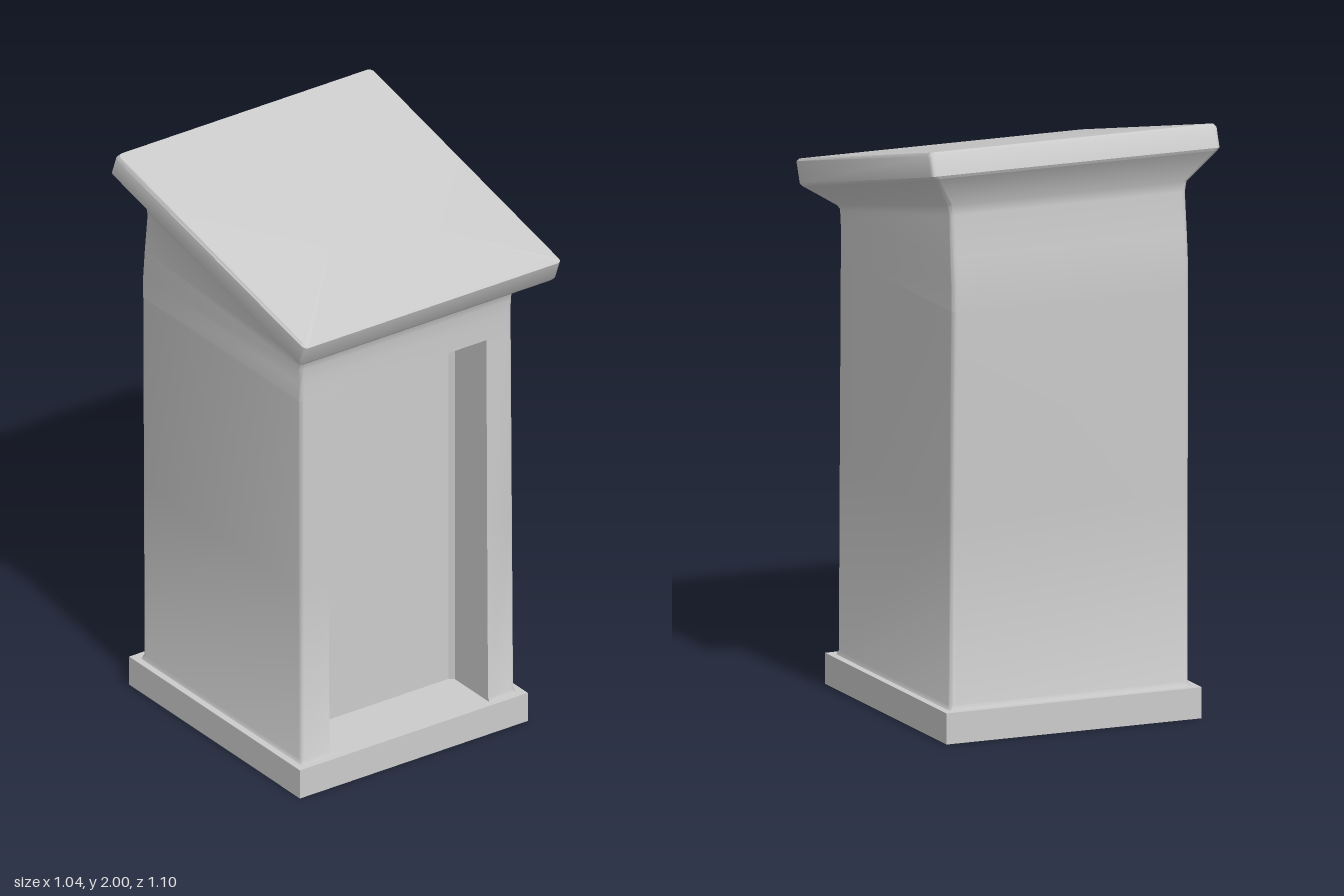
import * as THREE from 'three';
import { toCreasedNormals } from 'three/addons/utils/BufferGeometryUtils.js';

const RECESS_X = 0.32, RECESS_Z = 0.21, RECESS_TOP = 1.45, BASE_TOP = 0.105;

// Rounded rectangle cross-section, counterclockwise from above; its height slopes from back (yb) to front (yf).
function section([yf, yb, hw, zf, zb], recessed) {
  const r = 0.018, steps = 4, pts = [];
  const add = (x, z) => pts.push([x, yb + (yf - yb) * (z - zb) / (zf - zb), z]);
  for (let k = 0; k < 4; k++) {
    if (k === 3 && recessed) {
      const c = 0.015;
      add(-RECESS_X, zf);
      add(-RECESS_X, RECESS_Z + c);
      add(-RECESS_X + c, RECESS_Z);
      add(RECESS_X - c, RECESS_Z);
      add(RECESS_X, RECESS_Z + c);
      add(RECESS_X, zf);
    }
    const cx = (k === 0 || k === 3 ? 1 : -1) * (hw - r);
    const cz = k < 2 ? zb + r : zf - r;
    for (let i = 0; i <= steps; i++) {
      const a = (k + i / steps) * Math.PI / 2;
      add(cx + r * Math.cos(a), cz - r * Math.sin(a));
    }
  }
  return pts;
}

// Skin a stack of cross-sections, optionally closing the top.
function loft(rows, { recessed = false, cap = false } = {}) {
  const rings = rows.map(row => section(row, recessed));
  const n = rings[0].length, index = [], position = rings.flat(2);
  for (let i = 0; i < rings.length - 1; i++) {
    for (let j = 0; j < n; j++) {
      const a = i * n + j, b = i * n + (j + 1) % n;
      index.push(a, b, b + n, a, b + n, a + n);
    }
  }
  if (cap) {
    const [yf, yb, , zf, zb] = rows[rows.length - 1];
    const first = (rings.length - 1) * n;
    position.push(0, (yf + yb) / 2, (zf + zb) / 2);
    for (let j = 0; j < n; j++) index.push(first + j, first + (j + 1) % n, rings.length * n);
  }
  const g = new THREE.BufferGeometry();
  g.setAttribute('position', new THREE.Float32BufferAttribute(position, 3));
  g.setIndex(index);
  return toCreasedNormals(g, 0.7);
}

export function createModel() {
  const group = new THREE.Group();
  const material = new THREE.MeshStandardMaterial({ color: 0xcccccc });
  const part = (name, geometry) => {
    const mesh = new THREE.Mesh(geometry, material);
    mesh.name = name;
    group.add(mesh);
    return mesh;
  };

  // Plinth
  part('base', new THREE.BoxGeometry(0.92, BASE_TOP, 0.965)).position.set(0, BASE_TOP / 2, -0.0425);

  // Hollow-fronted body: rows are [front y, back y, half width, front z, back z]
  part('body', loft([
    [BASE_TOP, BASE_TOP, 0.436, 0.418, -0.5],
    [0.12, 0.12, 0.43, 0.411, -0.492],
    [0.75, 0.75, 0.429, 0.406, -0.497],
    [RECESS_TOP, RECESS_TOP, 0.427, 0.402, -0.504],
  ], { recessed: true }));

  // Ceiling of the recess
  const depth = 0.402 - RECESS_Z;
  const ceiling = part('recessCeiling', new THREE.PlaneGeometry(2 * RECESS_X, depth));
  ceiling.rotation.x = Math.PI / 2;
  ceiling.position.set(0, RECESS_TOP, RECESS_Z + depth / 2);

  // Neck leaning to the slope, then flaring out
  part('neck', loft([
    [RECESS_TOP, RECESS_TOP, 0.427, 0.402, -0.504],
    [1.52, 1.53, 0.427, 0.401, -0.504],
    [1.57, 1.63, 0.427, 0.403, -0.495],
    [1.605, 1.77, 0.427, 0.409, -0.479],
    [1.616, 1.805, 0.433, 0.417, -0.479],
    [1.667, 1.915, 0.513, 0.515, -0.546],
  ]));

  // Sloping reading desk with softened edges
  part('deskTop', loft([
    [1.667, 1.915, 0.513, 0.515, -0.546],
    [1.675, 1.925, 0.52, 0.523, -0.55],
    [1.745, 1.99, 0.52, 0.55, -0.526],
    [1.754, 2.0, 0.512, 0.545, -0.517],
  ], { cap: true }));

  return group;
}
